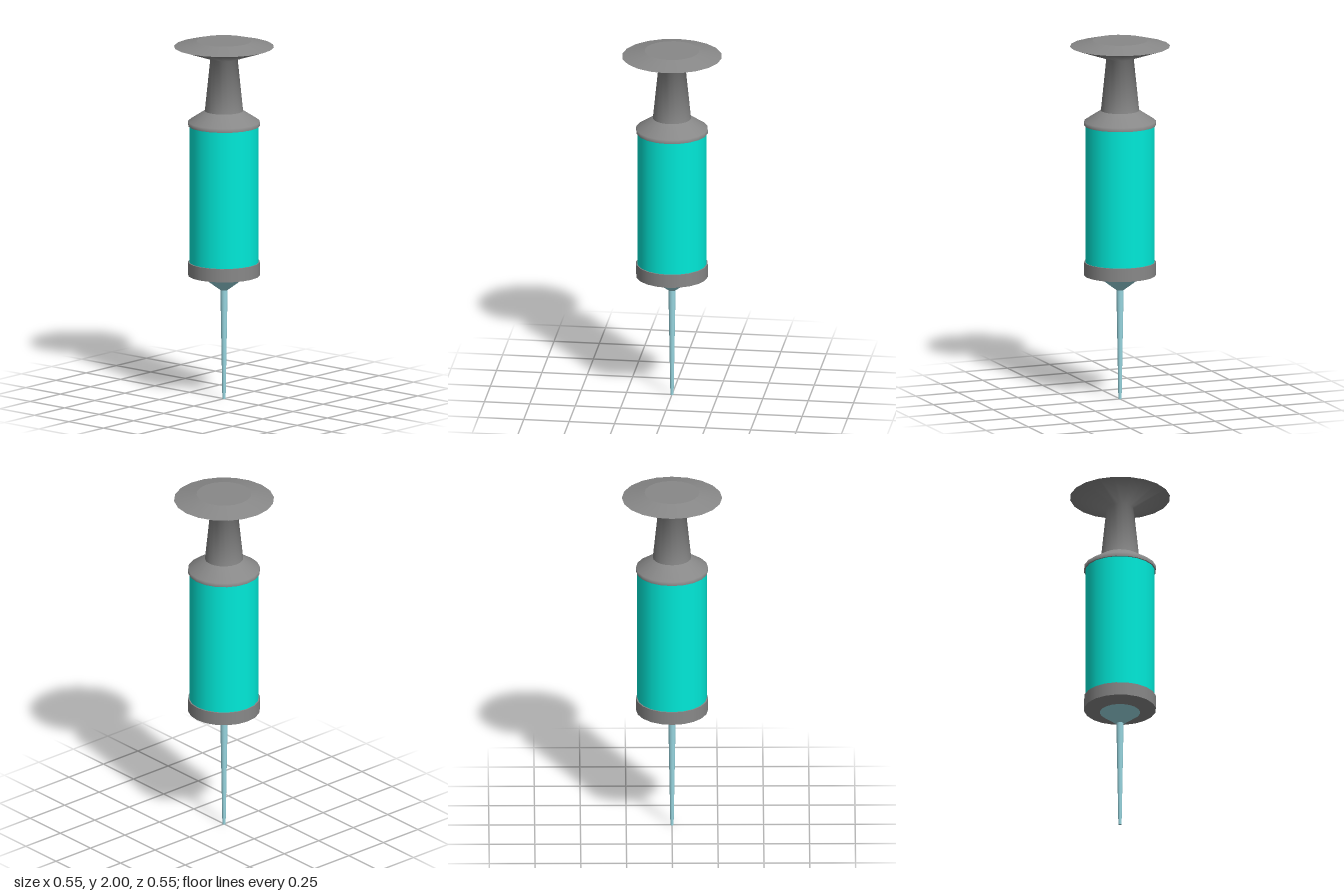
import * as THREE from 'three';
import { mergeGeometries } from 'three/addons/utils/BufferGeometryUtils.js';

const SIDES = 20;

// Turned part from runs of [radius, y] points, bottom to top: smooth within a run, sharp between runs
function turned(name, color, ...runs) {
  const bands = runs.map(run =>
    new THREE.LatheGeometry(run.map(([r, y]) => new THREE.Vector2(r, y)), SIDES));
  const mesh = new THREE.Mesh(mergeGeometries(bands), new THREE.MeshStandardMaterial({ color }));
  mesh.name = name;
  return mesh;
}

export function createModel() {
  const group = new THREE.Group();
  group.name = 'syringe';
  const grey = 0x888888, liquid = 0x00ead9, steel = 0x98d6e0;

  group.add(
    // Tapered needle and its flared hub
    turned('needle', steel, [[0, 0], [0.009, 0]], [[0.009, 0], [0.02, 0.61]]),
    turned('needleHub', steel, [[0, 0.608], [0.02, 0.608]], [[0.02, 0.608], [0.11, 0.675]]),
    // Lower cap with a shallow sloped underside
    turned('lowerCap', grey,
      [[0, 0.675], [0.11, 0.675]],
      [[0.11, 0.675], [0.197, 0.692]],
      [[0.197, 0.692], [0.197, 0.766]],
      [[0.197, 0.766], [0, 0.766]]),
    // Filled barrel
    turned('barrel', liquid, [[0.19, 0.76], [0.19, 1.535]]),
    // Upper collar with a softly shaded shoulder
    turned('upperCollar', grey,
      [[0, 1.528], [0.197, 1.528]],
      [[0.197, 1.528], [0.197, 1.55], [0.105, 1.61]]),
    // Plunger stem flowing into the thumb disc
    turned('plunger', grey,
      [[0.105, 1.61], [0.075, 1.9], [0.274, 1.968]],
      [[0.274, 1.968], [0.15, 2]],
      [[0.15, 2], [0, 2]])
  );
  return group;
}
